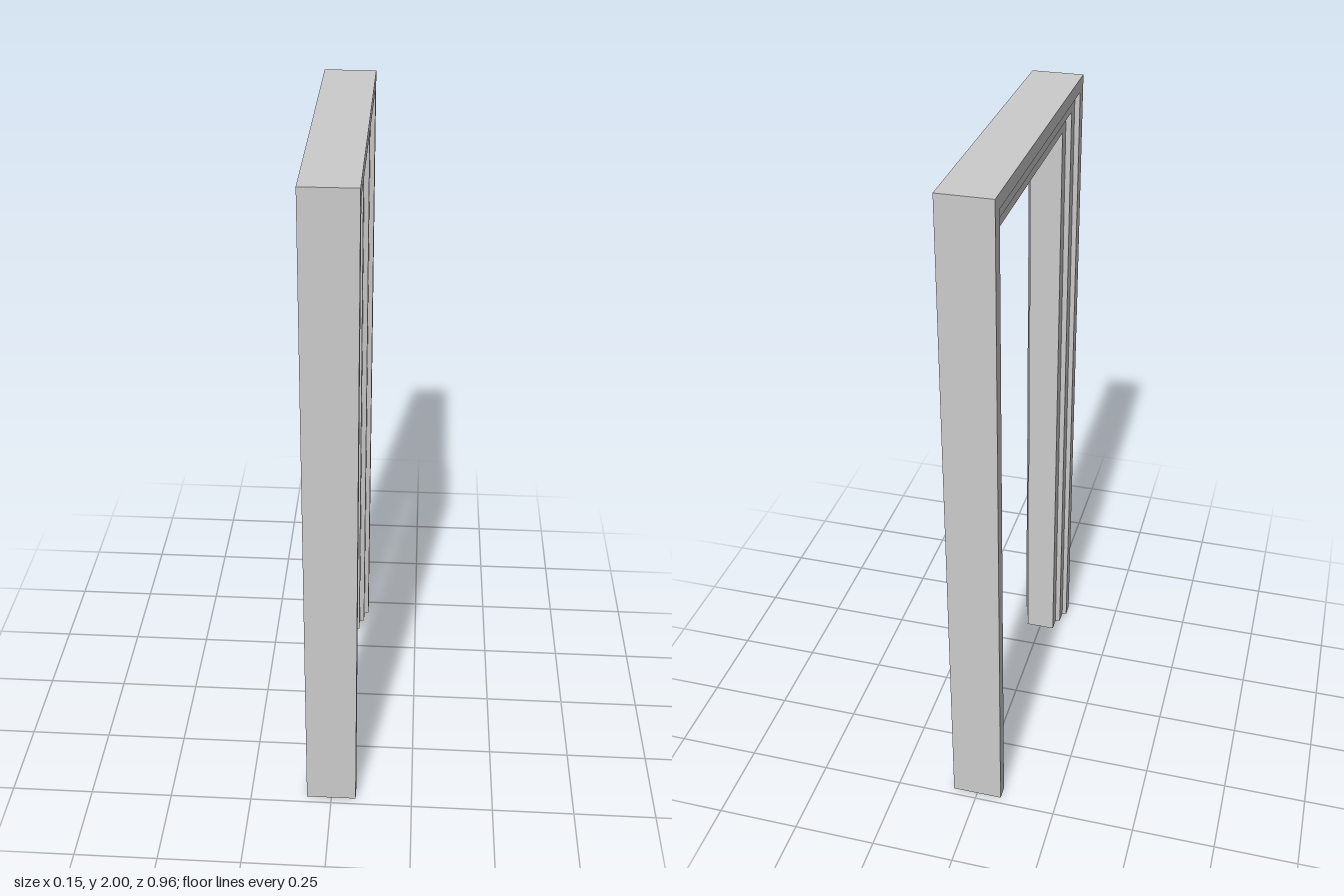
import * as THREE from 'three';

const HALF_SPAN = 0.478; // outer half width of the frame
const HEIGHT = 2;

// Stepped moulding: [distance in from the outer edge, half thickness]
const steps = [
  [0, 0.076], [0.04, 0.076], [0.045, 0.062],
  [0.085, 0.062], [0.09, 0.047], [0.132, 0.047],
];
// Closed section: one face, then its mirror image
const section = [...steps, ...steps.map(([d, x]) => [d, -x]).reverse()];

// Section point k at one of the four stations: foot, corner, corner, foot (mitred)
function point(station, k) {
  const [d, x] = section[k];
  const y = station === 0 || station === 3 ? 0 : HEIGHT - d;
  const z = (station < 2 ? 1 : -1) * (HALF_SPAN - d);
  return [x, y, z];
}

function frameGeometry() {
  const positions = [];
  const quad = (a, b, c, d) => positions.push(...a, ...b, ...c, ...a, ...c, ...d);
  const n = section.length;

  // Jamb, head, jamb
  for (let s = 0; s < 3; s++) {
    for (let i = 0; i < n; i++) {
      const j = (i + 1) % n;
      quad(point(s, i), point(s, j), point(s + 1, j), point(s + 1, i));
    }
  }
  // Flat undersides of the two feet
  for (let k = 0; k < steps.length - 1; k++) {
    const ring = [k, k + 1, n - 2 - k, n - 1 - k];
    quad(...ring.map((i) => point(3, i)));
    quad(...ring.reverse().map((i) => point(0, i)));
  }

  const geometry = new THREE.BufferGeometry();
  geometry.setAttribute('position', new THREE.Float32BufferAttribute(positions, 3));
  geometry.computeVertexNormals();
  return geometry;
}

export function createModel() {
  const group = new THREE.Group();
  group.name = 'doorway';
  const material = new THREE.MeshStandardMaterial({ color: 0xcccccc, flatShading: true });
  const frame = new THREE.Mesh(frameGeometry(), material);
  frame.name = 'doorFrame';
  group.add(frame);
  return group;
}
